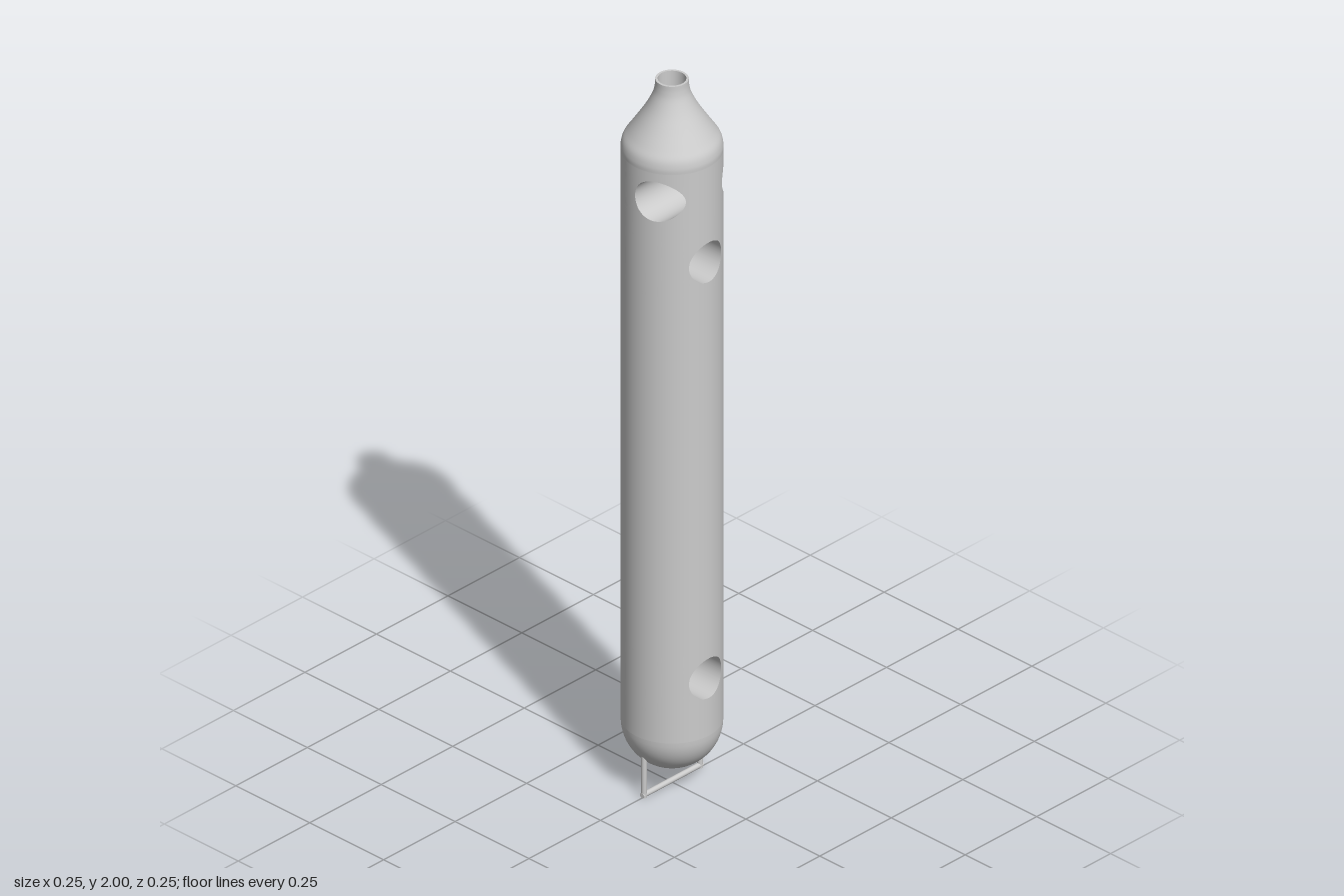
import * as THREE from 'three';
import { ParametricGeometry } from 'three/addons/geometries/ParametricGeometry.js';

const R = 0.125;        // body radius
const HOLE = 0.056;     // cross-hole radius
const BAND = 0.08;      // half height of the wall band around a hole

const material = new THREE.MeshStandardMaterial({ color: 0xcccccc });

function add(parent, name, geometry) {
  const mesh = new THREE.Mesh(geometry, material);
  mesh.name = name;
  parent.add(mesh);
  return mesh;
}

const lathe = (pts) => new THREE.LatheGeometry(pts.map(([r, y]) => new THREE.Vector2(r, y)), 64);

// Angle and height on the body wall of a point on the rim of a hole
function rim(x0, phi) {
  return [Math.asin((x0 + HOLE * Math.cos(phi)) / R), HOLE * Math.sin(phi)];
}

// Point on the rectangular border of the half band, counterclockwise
function border(v) {
  const side = Math.min(3, Math.floor(v * 4));
  const t = (v * 4 - side) * 2 - 1;
  const [a, b] = [[t, -1], [1, t], [-t, 1], [-1, -t]][side];
  return [a * Math.PI / 2, b * BAND];
}

const startAngle = -Math.PI * 0.75;

// Half of the wall, pierced by one hole
function wallGeometry(x0) {
  return new ParametricGeometry((u, v, p) => {
    const inner = rim(x0, startAngle + v * Math.PI * 2);
    const outer = border(v);
    const th = inner[0] + (outer[0] - inner[0]) * u;
    const y = inner[1] + (outer[1] - inner[1]) * u;
    p.set(R * Math.sin(th), y, R * Math.cos(th));
  }, 12, 128);
}

// Inside of the hole, from the wall to the middle of the body
function boreGeometry(x0) {
  return new ParametricGeometry((u, v, p) => {
    const phi = startAngle + u * Math.PI * 2;
    const [th, y] = rim(x0, phi);
    p.set(x0 + HOLE * Math.cos(phi), y, R * Math.cos(th) * (1 - v));
  }, 128, 4);
}

// A band of the body with a hole running right through it
function piercedBand(name, y, x0, turn) {
  const band = new THREE.Group();
  band.name = name;
  for (const s of [1, -1]) {
    const half = new THREE.Group();
    half.name = name + (s > 0 ? 'Near' : 'Far');
    add(half, 'piercedWall', wallGeometry(x0 * s));
    add(half, 'holeLining', boreGeometry(x0 * s));
    half.rotation.y = s > 0 ? 0 : Math.PI;
    band.add(half);
  }
  band.position.y = y;
  band.rotation.y = turn;
  return band;
}

export function createModel() {
  const model = new THREE.Group();
  model.name = 'hollowedTube';

  // Rounded bottom
  const dome = [];
  for (let i = 0; i <= 16; i++) {
    const a = (i / 16) * Math.PI / 2;
    dome.push([R * Math.sin(a), 0.185 - R * Math.cos(a)]);
  }
  add(model, 'roundedBottom', lathe(dome));

  // Pierced bands and the plain walls between them
  const holes = [
    ['lowerSideHole', 0.348, 0, Math.PI / 2],
    ['upperSideHole', 1.53, 0, Math.PI / 2],
    ['frontHole', 1.72, 0.052, 0],
  ];
  let from = 0.185;
  for (const [name, y, x0, turn] of holes) {
    add(model, 'plainWall', lathe([[R, from], [R, y - BAND]]));
    model.add(piercedBand(name, y, x0, turn));
    from = y + BAND;
  }

  // Shoulder sweeping up into the neck
  const sweep = new THREE.SplineCurve([
    [R, 1.8], [R, 1.815], [0.12, 1.835], [0.106, 1.857], [0.083, 1.892],
    [0.062, 1.927], [0.047, 1.96], [0.042, 1.982], [0.041, 2],
  ].map(([x, y]) => new THREE.Vector2(x, y)));
  add(model, 'shoulder', new THREE.LatheGeometry(sweep.getPoints(40), 64));

  // Neck opening
  add(model, 'neckRim', lathe([[0.041, 2], [0.035, 2]]));
  add(model, 'neckBore', lathe([[0.035, 2], [0.035, 1.9]]));
  add(model, 'neckFloor', lathe([[0.035, 1.9], [0, 1.9]]));

  // Wire loop under the bottom
  const wire = 0.007;
  for (const s of [1, -1]) {
    add(model, s > 0 ? 'loopFrontPost' : 'loopBackPost',
      new THREE.CylinderGeometry(wire, wire, 0.125, 16)).position.set(0, 0.0625, s * 0.098);
  }
  const bar = add(model, 'loopBar', new THREE.CylinderGeometry(wire, wire, 0.21, 16));
  bar.rotation.x = Math.PI / 2;
  bar.position.y = wire;

  return model;
}
